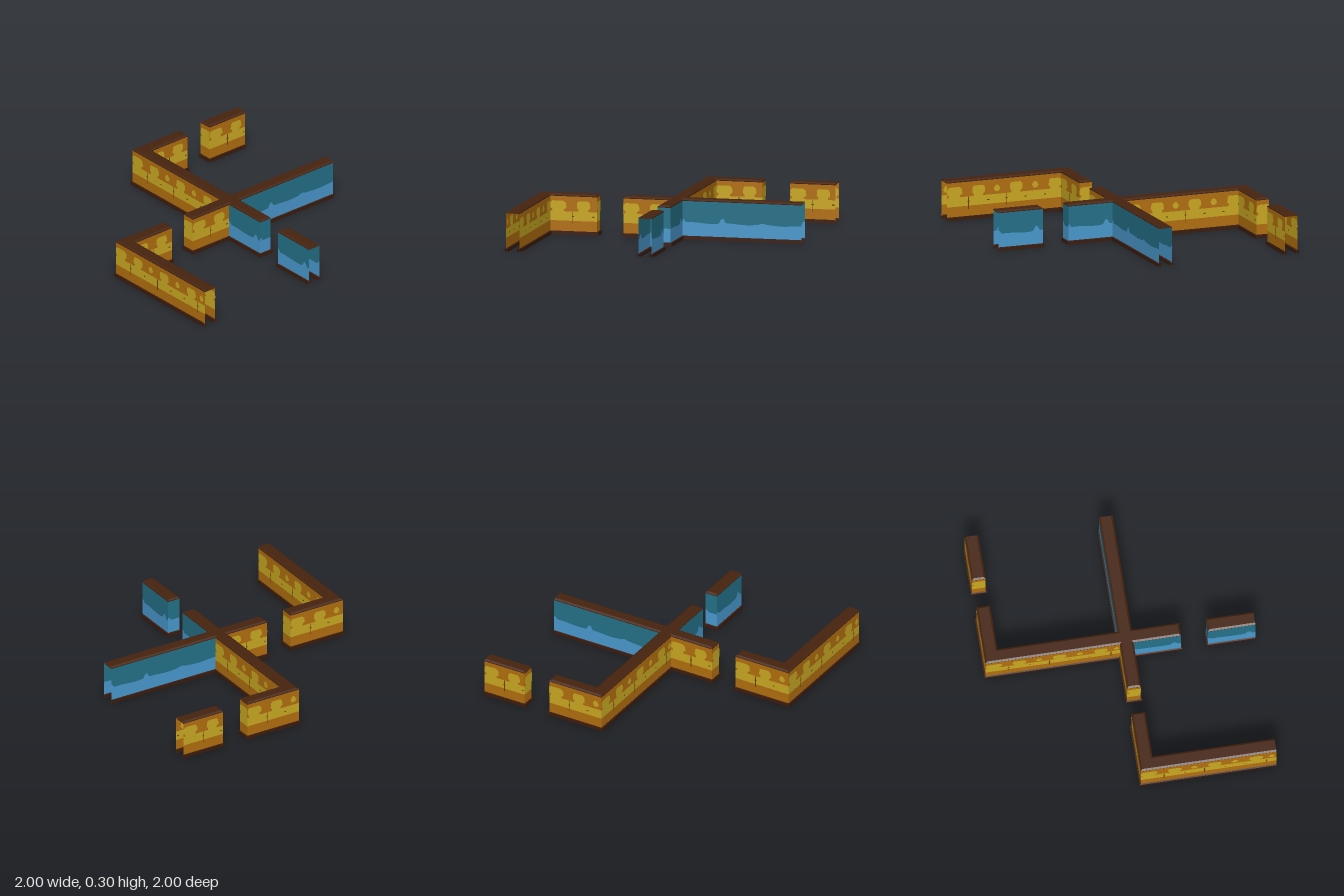
import * as THREE from 'three';

const mat = (name, color) => {
  const m = new THREE.MeshStandardMaterial({ color, side: THREE.DoubleSide });
  m.name = name;
  return m;
};
const M = {
  cap: mat('cap brown', 0x46230f),
  base: mat('skirting brown', 0x3b1c0e),
  orange: mat('wall orange', 0xb4700f),
  gold: mat('wall gold', 0xcbaa22),
  speck: mat('speck brown', 0x6e410c),
  teal: mat('wall teal', 0x25728a),
  blue: mat('wall blue', 0x4a9ad0),
};

// Wall outlines, clockwise in plan: x, z, style of the edge that starts here
// (y = patterned gold, b = blue, '' = open end)
const PIECES = {
  rearLeftWall: [[-0.99, -1, ''], [-0.89, -1, 'y'], [-0.89, -0.66, 'y'], [-0.99, -0.66, 'y']],
  crossWall: [
    [-0.99, -0.45, 'y'], [-0.89, -0.45, 'y'], [-0.89, -0.105, 'y'], [0, -0.105, 'b'],
    [0, -1, ''], [0.1, -1, 'b'], [0.1, -0.105, 'b'], [0.45, -0.105, 'b'], [0.45, -0.007, 'b'],
    [0.1, -0.007, 'y'], [0.1, 0.34, 'y'], [0, 0.34, 'y'], [0, -0.007, 'y'], [-0.99, -0.007, 'y'],
  ],
  sideWall: [[0.65, -0.105, 'b'], [1, -0.105, ''], [1, -0.007, 'b'], [0.65, -0.007, 'b']],
  frontWall: [[0, 0.54, 'y'], [0.1, 0.54, 'y'], [0.1, 0.89, 'y'], [1, 0.89, ''], [1, 0.99, 'y'], [0, 0.99, 'y']],
};

const BOTTOM = 0.02, TOP = 0.285;

// Outward normal of edge i in plan; open ends do not move
function normal(poly, i) {
  const n = poly.length, a = poly[(i + n) % n], b = poly[(i + 1) % n];
  if (!a[2]) return [0, 0];
  const dx = Math.sign(b[0] - a[0]), dz = Math.sign(b[1] - a[1]);
  return [dz, -dx];
}

function offset(poly, d) {
  return poly.map((p, i) => {
    const n0 = normal(poly, i - 1), n1 = normal(poly, i);
    return [p[0] + d * (n0[0] + n1[0]), p[1] + d * (n0[1] + n1[1])];
  });
}

// Sweep a profile of [outward offset, height] along every closed edge
function sweep(poly, profile) {
  const loops = profile.map(([d, y]) => offset(poly, d).map(([x, z]) => [x, y, z]));
  const pos = [];
  for (let k = 0; k + 1 < loops.length; k++) {
    poly.forEach((p, i) => {
      if (!p[2]) return;
      const j = (i + 1) % poly.length;
      const a = loops[k][i], b = loops[k][j], c = loops[k + 1][j], d = loops[k + 1][i];
      pos.push(...a, ...c, ...b, ...a, ...d, ...c);
    });
  }
  const g = new THREE.BufferGeometry();
  g.setAttribute('position', new THREE.Float32BufferAttribute(pos, 3));
  g.computeVertexNormals();
  return g;
}

function slab(poly, d, y) {
  const s = new THREE.Shape(offset(poly, d).map(([x, z]) => new THREE.Vector2(x, -z)));
  return new THREE.ShapeGeometry(s).rotateX(-Math.PI / 2).translate(0, y, 0);
}

function add(parent, name, geometry, material) {
  const mesh = new THREE.Mesh(geometry, material);
  mesh.name = name;
  parent.add(mesh);
  return mesh;
}

const flat = (pts) => new THREE.ShapeGeometry(new THREE.Shape(pts.map(([x, y]) => new THREE.Vector2(x, y))));
const rect = (x0, x1, y0, y1) => flat([[x0, y0], [x1, y0], [x1, y1], [x0, y1]]);

const LARGE = [[-0.05, 0.2], [-0.036, 0.186], [-0.04, 0.17], [0.035, 0.17], [0.036, 0.186], [0.052, 0.2],
  [0.048, 0.235], [0.032, 0.25], [-0.035, 0.25], [-0.047, 0.238]];
const SMALL = [[-0.026, 0.215], [-0.013, 0.193], [0.012, 0.193], [0.026, 0.212], [0.012, 0.235], [0, 0.243], [-0.015, 0.235]];
const BLOBS = [[0.06, LARGE, 1.2], [0.25, LARGE, 1], [0.395, SMALL, 1], [0.545, LARGE, 1],
  [0.695, SMALL, 1], [0.85, LARGE, 1], [0.965, SMALL, 0.9]];
const SPECKS = [[0.17, 1], [0.325, 0], [0.47, 1], [0.62, 0], [0.77, 0], [0.925, 1]];

// Thin painted plate, on both faces of the sheet
function paint(g, name, geometry, material, lift) {
  for (const z of [lift, -lift]) add(g, name, geometry, material).position.z = z;
}

function goldWall(g, len) {
  add(g, 'lowerBand', rect(0, len, BOTTOM, 0.103), M.orange);
  add(g, 'middleBand', rect(0, len, 0.103, 0.172), M.gold);
  add(g, 'upperBand', rect(0, len, 0.172, TOP), M.orange);
  for (const [u, pts, w] of BLOBS) {
    if (u > len) continue;
    const shape = pts.map(([x, y]) => [THREE.MathUtils.clamp(u + x * w, 0, len), y]);
    paint(g, 'patch', flat(shape), M.gold, 0.0015);
  }
  for (const [u, tall] of SPECKS) {
    if (u + 0.01 > len) continue;
    paint(g, 'speckDot', rect(u - 0.008, u + 0.008, 0.132, 0.14), M.speck, 0.002);
    if (tall) paint(g, 'speckLine', rect(u - 0.003, u + 0.003, 0.08, 0.17), M.speck, 0.002);
  }
}

// Ragged waterline between teal and blue
function waterline(u) {
  const peak = (c, w, h) => h * Math.max(0, Math.min(1, 1.6 * (1 - Math.abs(u - c) / w)));
  return 0.125 + 0.004 * Math.sin(u * 23) + peak(0, 0.025, 0.025) + peak(0.3, 0.025, 0.034) + peak(0.6, 0.03, 0.008);
}

function blueWall(g, len) {
  const n = Math.ceil(len / 0.012);
  const line = Array.from({ length: n + 1 }, (_, i) => [(i / n) * len, waterline((i / n) * len)]);
  add(g, 'lowerWall', flat([...line, [len, BOTTOM], [0, BOTTOM]].reverse()), M.blue);
  add(g, 'upperWall', flat([...line, [len, TOP], [0, TOP]]), M.teal);
}

export function createModel() {
  const model = new THREE.Group();
  model.name = 'roomWalls';
  for (const [name, poly] of Object.entries(PIECES)) {
    const piece = new THREE.Group();
    piece.name = name;
    model.add(piece);

    // Hollow skirting strip around the foot
    add(piece, 'skirting', sweep(poly, [[0, 0.027], [0.01, 0.025], [0.01, 0], [-0.014, 0], [-0.014, 0.025], [0, 0.027]]), M.base);

    // Bevelled cap
    add(piece, 'capEdge', sweep(poly, [[0, 0.283], [0.001, 0.289], [-0.013, 0.298]]), M.cap);
    add(piece, 'capTop', slab(poly, -0.013, 0.298), M.cap);
    add(piece, 'capUnderside', slab(poly, 0, 0.283), M.cap);

    // Wall sheets, each in its own frame: x along the wall, z outward
    poly.forEach((a, i) => {
      if (!a[2]) return;
      const b = poly[(i + 1) % poly.length];
      const dx = b[0] - a[0], dz = b[1] - a[1];
      const wall = new THREE.Group();
      wall.name = a[2] === 'b' ? 'blueWall' : 'goldWall';
      wall.position.set(b[0], 0, b[1]);
      wall.rotation.y = Math.atan2(dz, -dx);
      (a[2] === 'b' ? blueWall : goldWall)(wall, Math.hypot(dx, dz));
      piece.add(wall);
    });
  }
  return model;
}
